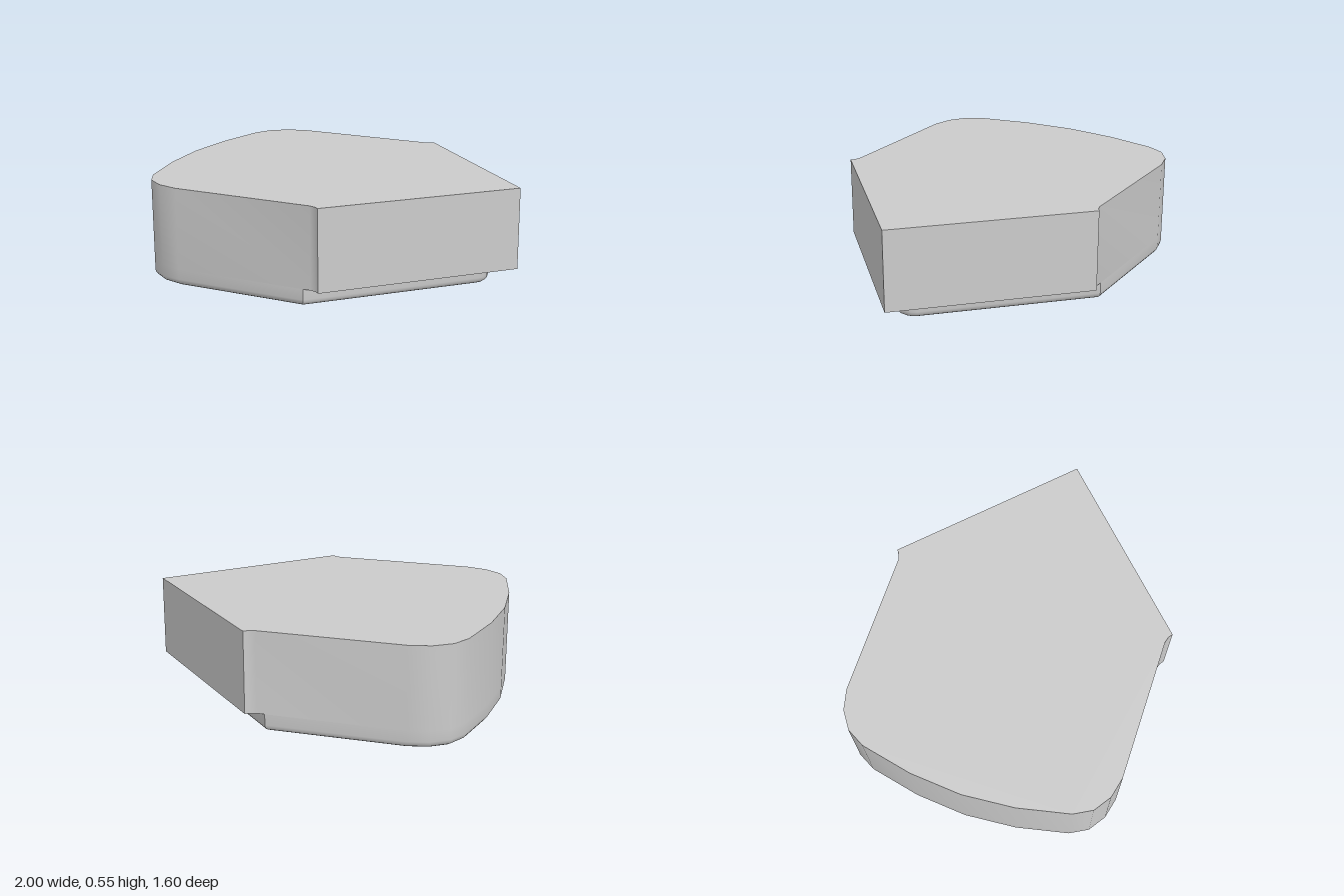
import * as THREE from 'three';
import { toCreasedNormals } from 'three/addons/utils/BufferGeometryUtils.js';

const CREASE = 0.6, STEP_Y = 0.095, TOP_Y = 0.545, RADIUS = 0.035;

// Half outlines run from the pointed end round to the blunt end
const REAR = [[-0.65, 0.772], [-0.765, 0.745], [-0.86, 0.68], [-0.915, 0.58], [-0.977, 0.29], [-1, 0]];
const UPPER = [[1, 0], [0.2, 0.798], [0.178, 0.782], [0.145, 0.772], ...REAR];
const LOWER = [[0.83, 0], [0.824, 0.038], [0.806, 0.066], [0.1, 0.772], ...REAR];

// Complete a half outline with its mirror image (counter-clockwise)
function mirrored(half) {
  const pts = half.map(([x, y]) => new THREE.Vector2(x, y));
  const other = pts.slice(1, -1).reverse().map((p) => new THREE.Vector2(p.x, -p.y));
  return [...pts, ...other];
}

// Move a closed outline inwards with mitred corners
function inset(pts, d) {
  const n = pts.length;
  const normal = (a, b) => new THREE.Vector2(b.y - a.y, a.x - b.x).normalize();
  return pts.map((p, i) => {
    const n1 = normal(pts[(i + n - 1) % n], p), n2 = normal(p, pts[(i + 1) % n]);
    return p.clone().addScaledVector(n1.clone().add(n2), -d / (1 + n1.dot(n2)));
  });
}

// Side wall lofted through rings of { pts, y }
function loftWall(rings) {
  const pos = [];
  const n = rings[0].pts.length;
  for (let r = 0; r < rings.length - 1; r++) {
    for (let i = 0; i < n; i++) {
      const v = (ring, k) => [ring.pts[k % n].x, ring.y, -ring.pts[k % n].y];
      const a = v(rings[r], i), b = v(rings[r], i + 1);
      const c = v(rings[r + 1], i), d = v(rings[r + 1], i + 1);
      pos.push(...a, ...b, ...d, ...a, ...d, ...c);
    }
  }
  const geo = new THREE.BufferGeometry();
  geo.setAttribute('position', new THREE.Float32BufferAttribute(pos, 3));
  return toCreasedNormals(geo, CREASE);
}

export function createModel() {
  const group = new THREE.Group();
  const material = new THREE.MeshStandardMaterial({ color: 0xcccccc });
  const add = (name, geometry) => {
    const mesh = new THREE.Mesh(geometry, material);
    mesh.name = name;
    group.add(mesh);
  };

  // Upper block with the overhanging point
  const block = new THREE.ExtrudeGeometry(new THREE.Shape(mirrored(UPPER)), {
    depth: TOP_Y - STEP_Y, bevelEnabled: false,
  });
  block.rotateX(-Math.PI / 2).translate(0, STEP_Y, 0);
  add('upperBlock', toCreasedNormals(block, CREASE));

  // Recessed base with a rounded lower edge
  const outline = mirrored(LOWER);
  const rings = [];
  for (let i = 0; i <= 4; i++) {
    const t = (i / 4) * Math.PI / 2;
    rings.push({ pts: inset(outline, RADIUS * (1 - Math.sin(t))), y: RADIUS * (1 - Math.cos(t)) });
  }
  rings.push({ pts: outline, y: STEP_Y });
  add('baseWall', loftWall(rings));

  // Flat underside
  const underside = new THREE.ShapeGeometry(new THREE.Shape(rings[0].pts));
  add('underside', underside.rotateX(Math.PI / 2));

  return group;
}
